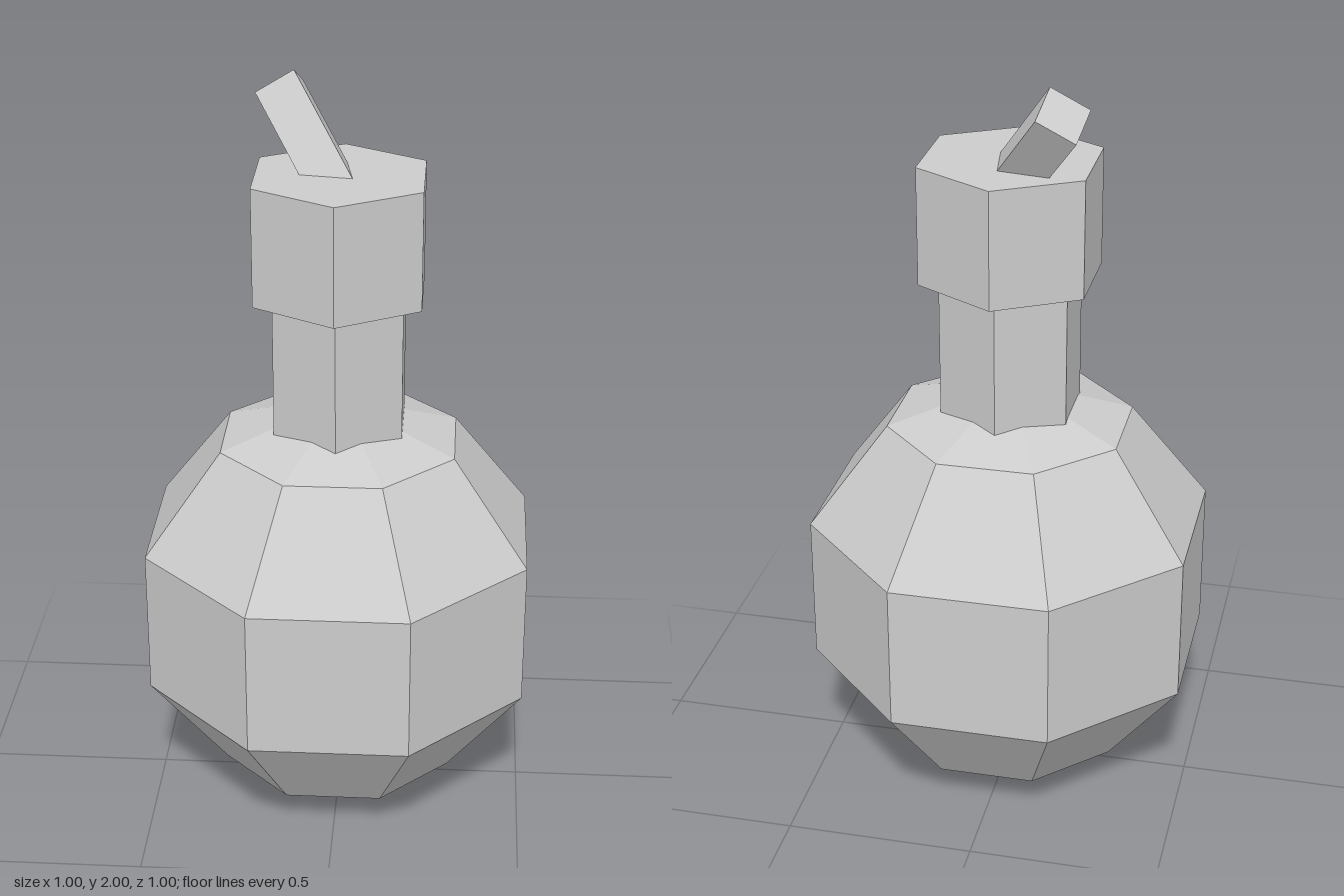
import * as THREE from 'three';

export function createModel() {
  const model = new THREE.Group();
  const grey = new THREE.MeshStandardMaterial({ color: 0xcccccc });
  grey.flatShading = true;

  function add(name, geometry, x = 0, y = 0, z = 0) {
    const mesh = new THREE.Mesh(geometry, grey);
    mesh.name = name;
    mesh.position.set(x, y, z);
    model.add(mesh);
    return mesh;
  }

  // Round flask body: eight sides, flat sides facing the axes
  const flat = 1 / Math.cos(Math.PI / 8);
  const profile = [
    [0, 0], [0.304, 0.108], [0.5, 0.382], [0.5, 0.776], [0.304, 1.05], [0, 1.155],
  ].map(([r, y]) => new THREE.Vector2(r * flat, y));
  add('body', new THREE.LatheGeometry(profile, 8, Math.PI / 8));

  // Hexagonal neck and its wider collar
  const hexPrism = (r, y0, y1) =>
    new THREE.CylinderGeometry(r, r, y1 - y0, 6).translate(0, (y0 + y1) / 2, 0);
  add('neck', hexPrism(0.192, 1.0, 1.5));
  add('collar', hexPrism(0.246, 1.457, 1.77));

  // Square stopper stick, leaning to the back right on its edge
  const length = 0.44;
  const stick = new THREE.BoxGeometry(0.113, length, 0.113)
    .translate(0, -length / 2, 0)
    .rotateY(Math.PI / 4)
    .rotateX(-0.768)
    .rotateY(Math.PI / 4);
  add('stopperStick', stick, -0.164, 1.944, -0.166);

  return model;
}
